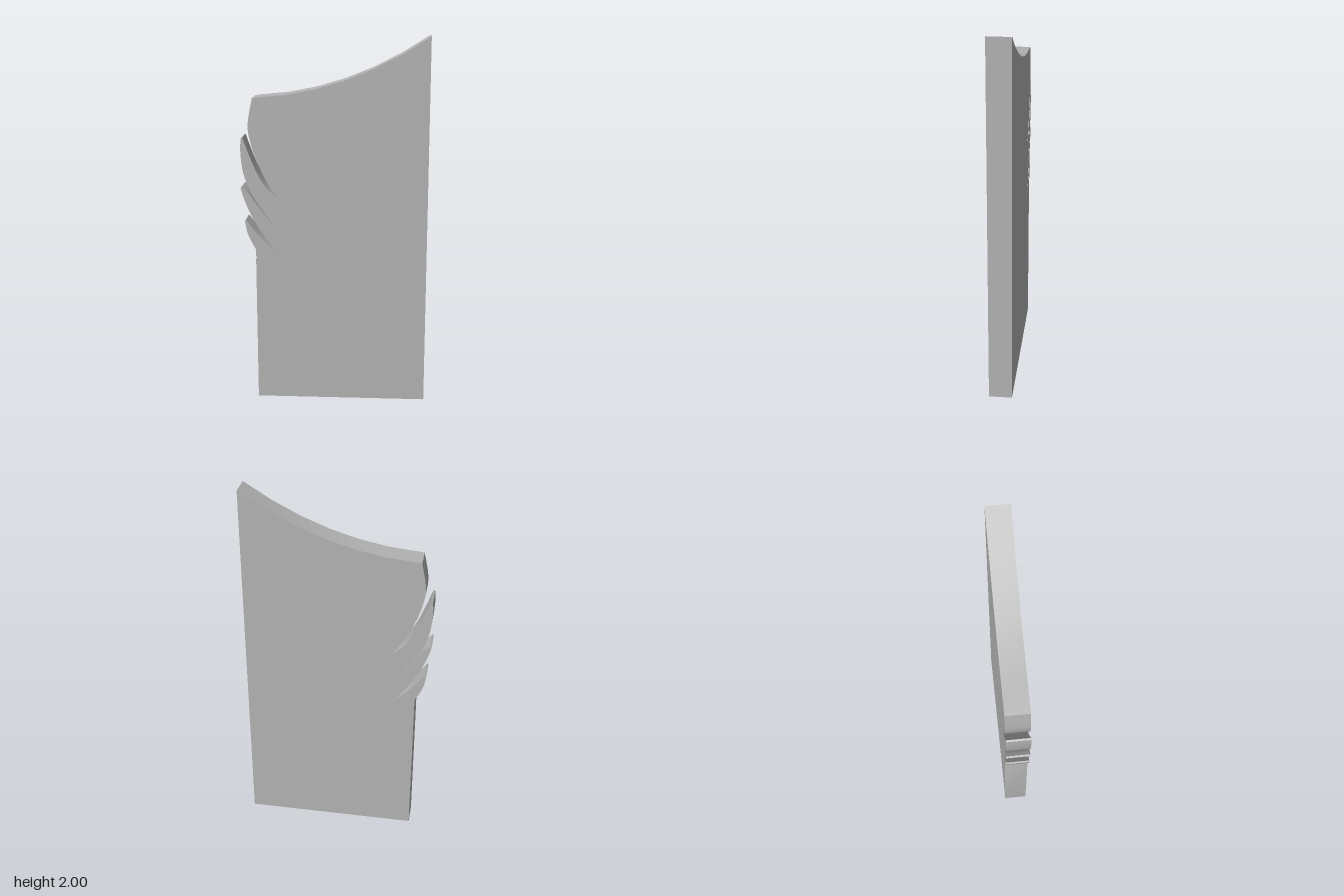
import * as THREE from 'three';
import { toCreasedNormals } from 'three/addons/utils/BufferGeometryUtils.js';

const DEPTH = 0.125;

// Each run is a smooth curve; sharp corners fall between runs.
const featherRuns = [
  // upper edge, into the first slit
  [[-0.455, 1.54], [-0.442, 1.44], [-0.405, 1.33], [-0.352, 1.22], [-0.288, 1.134]],
  // out of the first slit to the first tip
  [[-0.36, 1.197], [-0.415, 1.288], [-0.458, 1.394], [-0.485, 1.47]],
  [[-0.494, 1.465]],
  // outside of the first feather, into the second slit
  [[-0.497, 1.39], [-0.484, 1.277], [-0.442, 1.166], [-0.378, 1.065], [-0.315, 0.984], [-0.255, 0.938]],
  [[-0.32, 0.988], [-0.389, 1.07], [-0.455, 1.165], [-0.492, 1.203]],
  [[-0.5, 1.198]],
  // outside of the second feather, into the third slit
  [[-0.484, 1.139], [-0.442, 1.04], [-0.384, 0.943], [-0.328, 0.867], [-0.27, 0.82]],
  [[-0.336, 0.867], [-0.4, 0.927], [-0.442, 0.978], [-0.474, 1.02]],
  [[-0.481, 1.015]],
  // outside of the third feather, ending in a small notch
  [[-0.468, 0.949], [-0.445, 0.895], [-0.424, 0.858]],
  [[-0.425, 0.822]],
  [[-0.419, 0.81]],
  [[-0.424, 0.8]],
];

function panelOutline() {
  const shape = new THREE.Shape();
  shape.moveTo(-0.424, 0);
  shape.lineTo(0.5, 0);
  shape.lineTo(0.5, 2);
  // sweeping concave top
  shape.quadraticCurveTo(0.066, 1.705, -0.405, 1.682);
  shape.lineTo(-0.43, 1.678);
  for (const run of featherRuns) {
    if (run.length === 1) shape.lineTo(...run[0]);
    else shape.splineThru(run.map(([x, y]) => new THREE.Vector2(x, y)));
  }
  shape.closePath();
  return shape;
}

export function createModel() {
  const group = new THREE.Group();
  group.name = 'featheredPanel';
  const grey = new THREE.MeshStandardMaterial({ color: 0xb4b4b4 });
  grey.name = 'grey';

  // flat slab with curved feather cuts along one edge
  const geometry = new THREE.ExtrudeGeometry(panelOutline(), {
    depth: DEPTH, bevelEnabled: false, curveSegments: 6,
  });
  geometry.translate(0, 0, -DEPTH / 2);
  const panel = new THREE.Mesh(toCreasedNormals(geometry, 0.5), grey);
  panel.name = 'panel';
  group.add(panel);
  return group;
}
